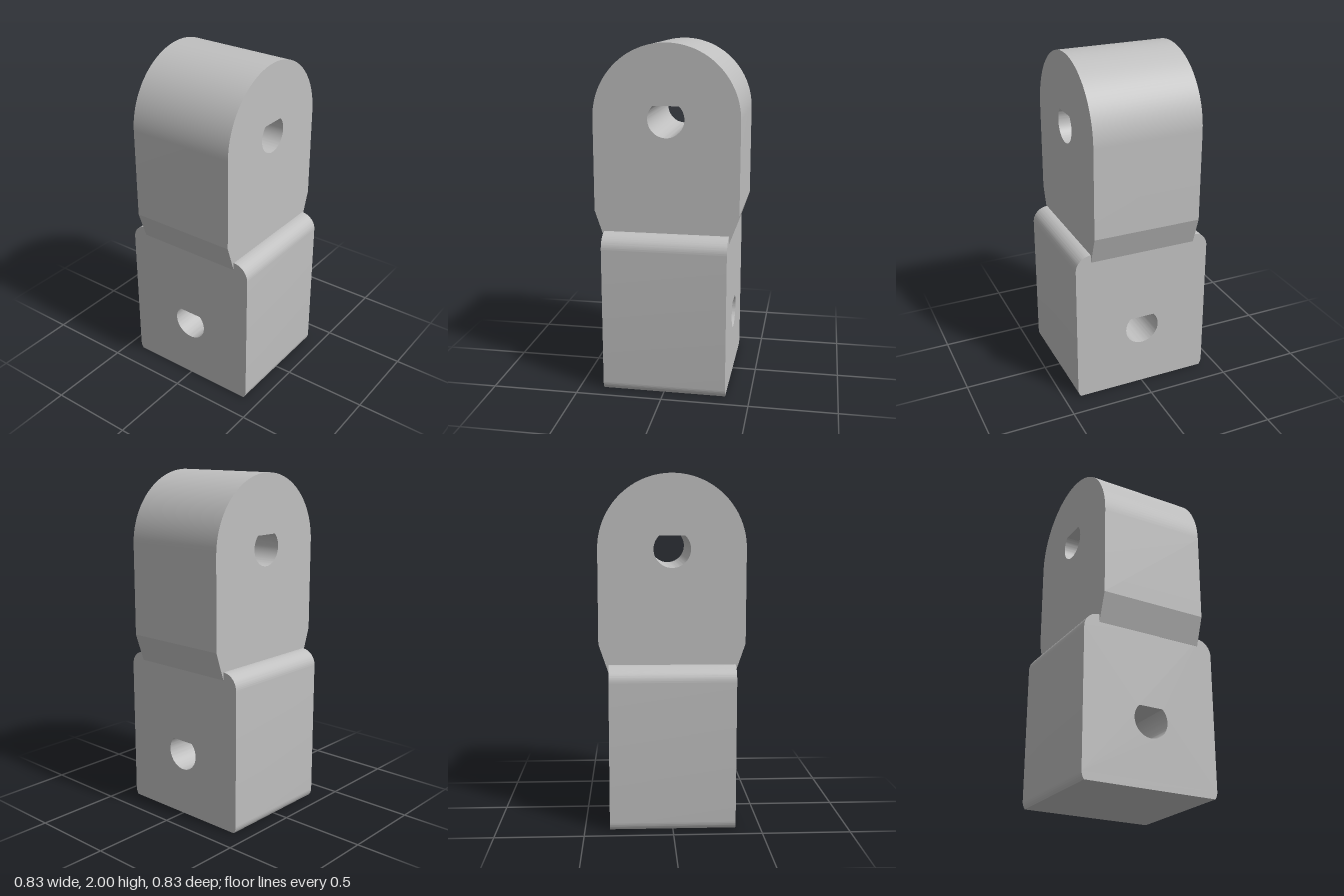
import * as THREE from 'three';
import { toCreasedNormals } from 'three/addons/utils/BufferGeometryUtils.js';

const HOLE_R = 0.104;

// Teardrop hole: round below, 45 degree point on top
function teardrop(y) {
  const hole = new THREE.Path();
  hole.moveTo(0, y + HOLE_R * Math.SQRT2);
  hole.absarc(0, y, HOLE_R, Math.PI * 0.75, Math.PI * 2.25, false);
  hole.closePath();
  return hole;
}

// Extrude a pierced profile, centred on its thickness
function piercedBlock(name, shape, holeY, depth, material) {
  shape.holes.push(teardrop(holeY));
  const geometry = new THREE.ExtrudeGeometry(shape, { depth, bevelEnabled: false, curveSegments: 32 });
  geometry.translate(0, 0, -depth / 2);
  const mesh = new THREE.Mesh(toCreasedNormals(geometry, 0.3), material);
  mesh.name = name;
  return mesh;
}

export function createModel() {
  const group = new THREE.Group();
  group.name = 'crossedEyeBlock';
  const grey = new THREE.MeshStandardMaterial({ color: 0xc0c0c0 });
  grey.name = 'plain grey';

  // Lower block: rounded shoulders, slightly eased foot
  const w = 0.415, top = 0.936, r = 0.09;
  const lower = new THREE.Shape();
  lower.moveTo(-0.4, 0);
  lower.lineTo(0.4, 0);
  lower.quadraticCurveTo(w, 0.02, w, 0.045);
  lower.lineTo(w, top - r);
  lower.absarc(w - r, top - r, r, 0, Math.PI / 2, false);
  lower.lineTo(-w + r, top);
  lower.absarc(-w + r, top - r, r, Math.PI / 2, Math.PI, false);
  lower.lineTo(-w, 0.045);
  lower.quadraticCurveTo(-w, 0.02, -0.4, 0);
  group.add(piercedBlock('lowerBlock', lower, 0.382, 0.717, grey));

  // Upper lug: tapered neck and full round top, turned a quarter
  const upper = new THREE.Shape();
  upper.moveTo(-0.359, 0.89);
  upper.lineTo(0.359, 0.89);
  upper.lineTo(w, 1.055);
  upper.lineTo(w, 1.585);
  upper.absarc(0, 1.585, w, 0, Math.PI, false);
  upper.lineTo(-w, 1.055);
  const lug = piercedBlock('upperLug', upper, 1.585, 0.645, grey);
  lug.rotation.y = Math.PI / 2;
  group.add(lug);

  return group;
}
